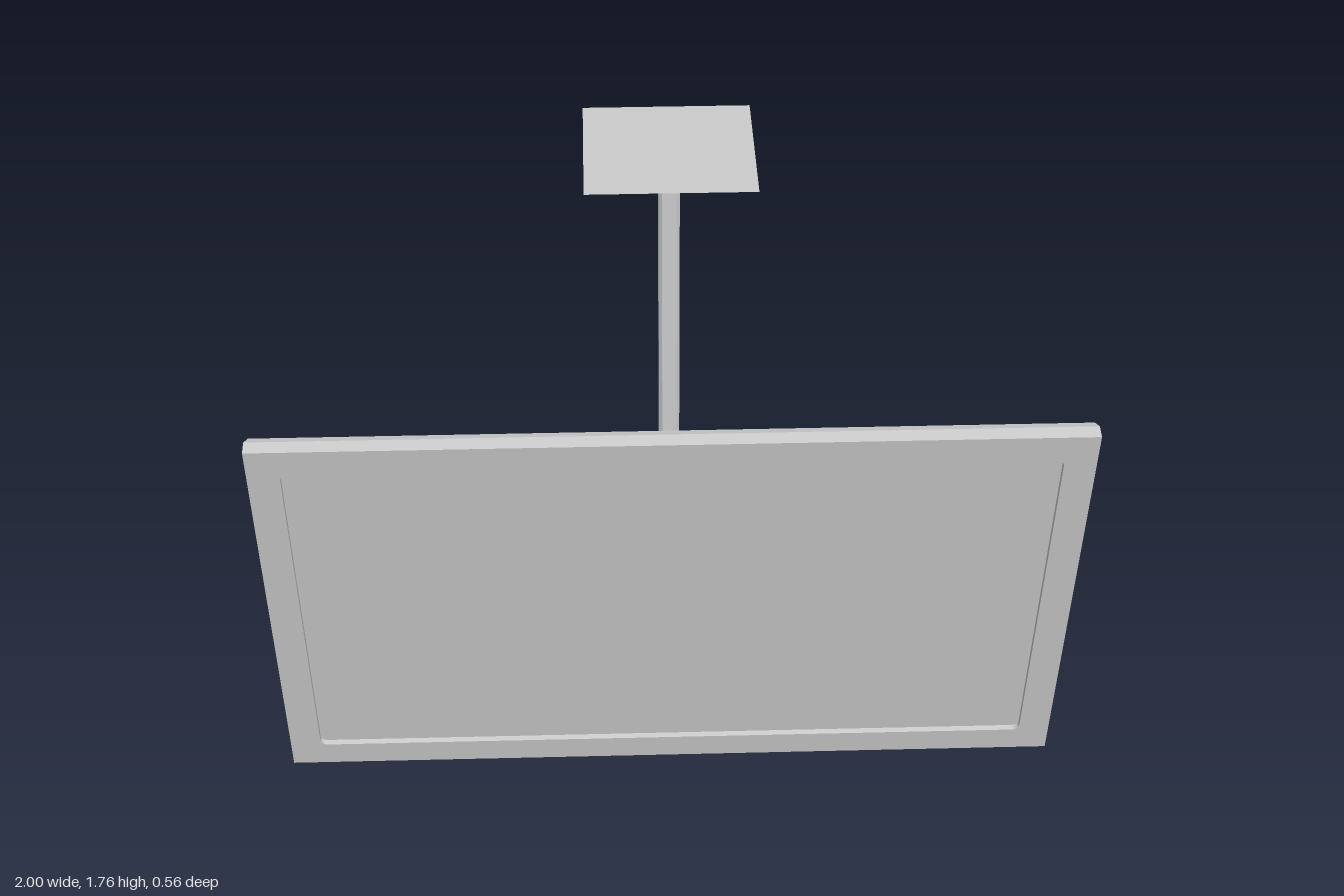
import * as THREE from 'three';

const mat = new THREE.MeshStandardMaterial({ color: 0xcccccc, flatShading: true });
const TILT = THREE.MathUtils.degToRad(10);

function add(parent, name, geometry, x = 0, y = 0, z = 0) {
  const mesh = new THREE.Mesh(geometry, mat);
  mesh.name = name;
  mesh.position.set(x, y, z);
  parent.add(mesh);
  return mesh;
}

const polygon = (points) => new THREE.Shape(points.map(([x, y]) => new THREE.Vector2(x, y)));

function rectangle(w, h) {
  return polygon([[-w / 2, -h / 2], [w / 2, -h / 2], [w / 2, h / 2], [-w / 2, h / 2]]);
}

function roundedHole(hw, hh, r) {
  const p = new THREE.Path();
  p.moveTo(-hw + r, -hh);
  p.absarc(hw - r, -hh + r, r, -Math.PI / 2, 0);
  p.absarc(hw - r, hh - r, r, 0, Math.PI / 2);
  p.absarc(-hw + r, hh - r, r, Math.PI / 2, Math.PI);
  p.absarc(-hw + r, -hh + r, r, Math.PI, Math.PI * 1.5);
  return p;
}

const extrude = (shape, depth) =>
  new THREE.ExtrudeGeometry(shape, { depth, bevelEnabled: false, curveSegments: 4 });

// Extrudes a (z, y) side profile across x, centred on x = 0
function extrudeSide(shape, width) {
  return extrude(shape, width).translate(0, 0, -width / 2).rotateY(-Math.PI / 2);
}

// Back shell: a slab whose rear edges are chamfered
function shellGeometry() {
  const g = new THREE.BoxGeometry(2, 1.2, 0.04, 1, 1, 2);
  const p = g.attributes.position;
  for (let i = 0; i < p.count; i++) {
    if (p.getZ(i) < -0.01) {
      p.setX(i, p.getX(i) - Math.sign(p.getX(i)) * 0.008);
      p.setY(i, p.getY(i) - Math.sign(p.getY(i)) * 0.008);
    }
  }
  g.computeVertexNormals();
  return g;
}

export function createModel() {
  const model = new THREE.Group();
  model.name = 'ceilingMountedScreen';

  // Tilted screen panel with a raised frame round the display
  const panel = new THREE.Group();
  panel.name = 'screenPanel';
  panel.position.set(0, 0.6, 0.15);
  panel.rotation.x = TILT;
  model.add(panel);
  add(panel, 'panelShell', shellGeometry(), 0, 0, -0.0075);
  const frame = rectangle(2, 1.2);
  frame.holes.push(roundedHole(0.922, 0.523, 0.02));
  add(panel, 'screenFrame', extrude(frame, 0.015), 0, 0, 0.0125);

  // Wall-side bracket: slotted plate between two upright bars
  const back = -0.0275;
  const plate = rectangle(0.28, 0.22);
  plate.holes.push(rectangle(0.22, 0.065));
  add(panel, 'bracketPlate', extrude(plate, 0.036), 0, 0.005, back - 0.036);
  const bar = [
    [0, -0.142], [0, 0.142], [-0.037, 0.135], [-0.052, 0.11], [-0.048, 0.09], [-0.042, 0.085],
    [-0.042, -0.085], [-0.048, -0.09], [-0.052, -0.11], [-0.037, -0.135],
  ];
  for (const side of [-1, 1]) {
    add(panel, side > 0 ? 'leftBracketBar' : 'rightBracketBar',
      extrudeSide(polygon(bar), 0.07), side * 0.165, 0.005, back);
  }

  // Double arm joining the bracket to the pole
  const arm = polygon([[0.1, 0.694], [-0.065, 0.722], [-0.065, 0.545], [-0.05, 0.545], [0.066, 0.524]]);
  arm.holes.push(polygon([[0.092, 0.652], [-0.009, 0.67], [-0.023, 0.587], [0.077, 0.566]]));
  add(model, 'supportArm', extrudeSide(arm, 0.05));

  // Square pole with trimmed corners
  const h = 0.025, c = 0.017;
  const section = polygon([[-c, -h], [c, -h], [h, -c], [h, c], [c, h], [-c, h], [-h, c], [-h, -c]]);
  add(model, 'pole', extrude(section, 1.15).rotateX(-Math.PI / 2), 0, 0.545, -0.08);

  // Flared square ceiling plate
  const flare = [[0, 1.685], [0.026, 1.685], [0.065, 1.714], [0.197, 1.767], [0, 1.767]]
    .map(([half, y]) => new THREE.Vector2(half * Math.SQRT2, y));
  add(model, 'ceilingPlate', new THREE.LatheGeometry(flare, 4).rotateY(Math.PI / 4), 0, 0, -0.08);

  return model;
}
